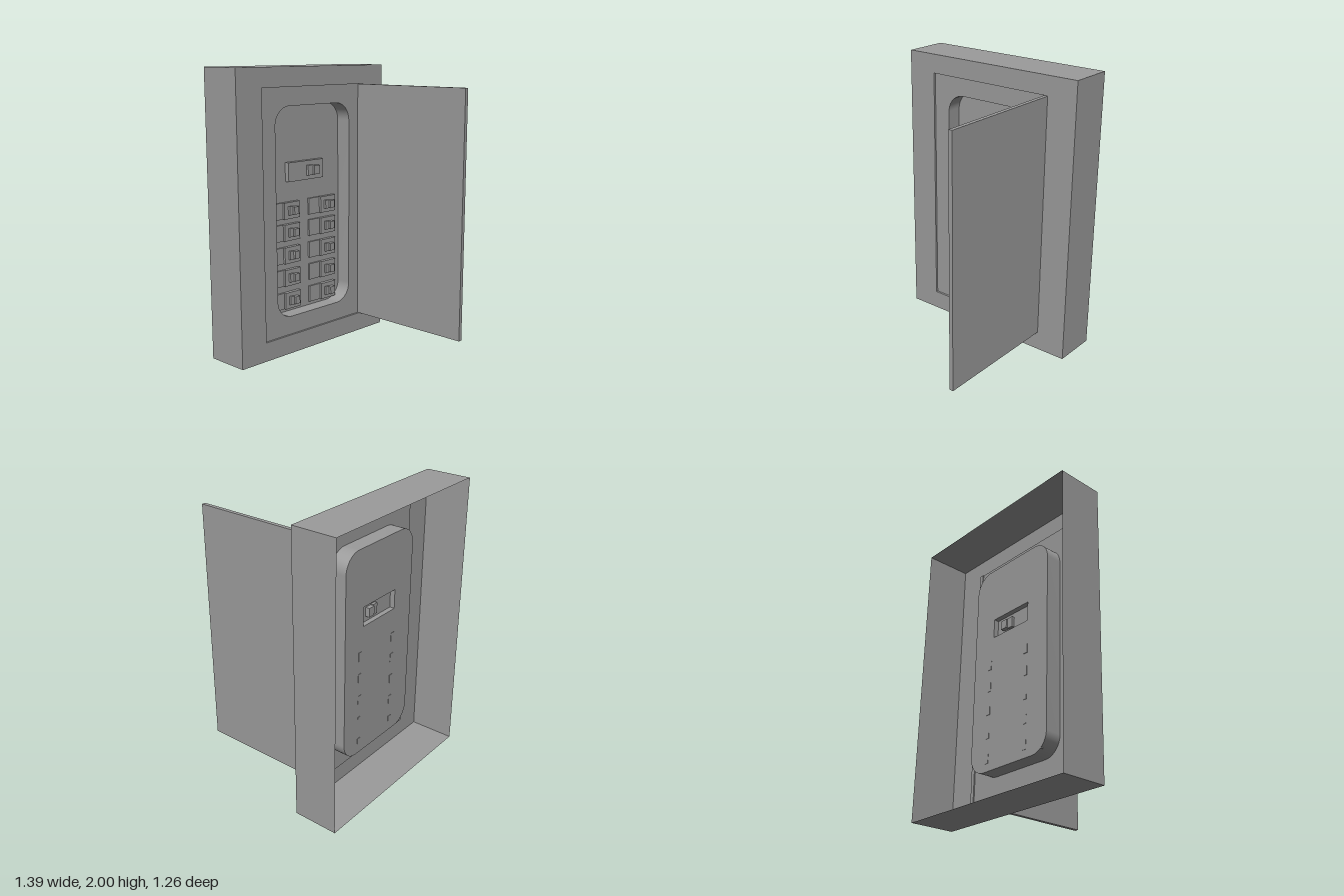
import * as THREE from 'three';
import { toCreasedNormals } from 'three/addons/utils/BufferGeometryUtils.js';

const mat = new THREE.MeshStandardMaterial({ color: 0x9b9b9b, side: THREE.DoubleSide });

// Rectangle outline with optional corner radius
function outline(x0, x1, y0, y1, r = 0) {
  const s = new THREE.Shape();
  if (!r) {
    s.moveTo(x0, y0).lineTo(x1, y0).lineTo(x1, y1).lineTo(x0, y1).closePath();
    return s;
  }
  s.moveTo(x0 + r, y0).lineTo(x1 - r, y0);
  s.absarc(x1 - r, y0 + r, r, -Math.PI / 2, 0);
  s.absarc(x1 - r, y1 - r, r, 0, Math.PI / 2);
  s.absarc(x0 + r, y1 - r, r, Math.PI / 2, Math.PI);
  s.absarc(x0 + r, y0 + r, r, Math.PI, Math.PI * 1.5);
  return s;
}

function add(parent, name, geometry) {
  const mesh = new THREE.Mesh(geometry, mat);
  mesh.name = name;
  parent.add(mesh);
  return mesh;
}

// Flat sheet at depth z, with an optional opening
function sheet(parent, name, shape, z, hole) {
  const s = shape.clone();
  if (hole) s.holes.push(hole);
  add(parent, name, new THREE.ShapeGeometry(s, 10)).position.z = z;
}

// Walls swept along an outline; z0 is the rear edge and z1 the front edge
function walls(parent, name, shape, z0, z1) {
  const pts = shape.getPoints(10);
  const v = [];
  for (let i = 0; i < pts.length; i++) {
    const a = pts[i], b = pts[(i + 1) % pts.length];
    if (a.distanceTo(b) < 1e-6) continue;
    v.push(a.x, a.y, z0, b.x, b.y, z0, b.x, b.y, z1);
    v.push(a.x, a.y, z0, b.x, b.y, z1, a.x, a.y, z1);
  }
  const g = new THREE.BufferGeometry();
  g.setAttribute('position', new THREE.Float32BufferAttribute(v, 3));
  g.computeVertexNormals();
  add(parent, name, toCreasedNormals(g, 0.6));
}

function block(parent, name, x0, x1, y0, y1, z0, z1) {
  add(parent, name, new THREE.BoxGeometry(x1 - x0, y1 - y0, z1 - z0))
    .position.set((x0 + x1) / 2, (y0 + y1) / 2, (z0 + z1) / 2);
}

export function createModel() {
  const model = new THREE.Group();
  model.name = 'breakerPanel';

  const back = -0.63, front = -0.31, ledge = -0.325, floor = -0.437;
  const outer = outline(-0.695, 0.695, 0, 2);
  const doorway = outline(-0.48, 0.478, 0.135, 1.866);
  const well = outline(-0.356, 0.355, 0.265, 1.738, 0.13);
  const mainHole = outline(-0.17, 0.167, 1.205, 1.34);

  // Open-backed housing with a shallow door recess and a deeper rounded well
  const housing = new THREE.Group();
  housing.name = 'housing';
  model.add(housing);
  walls(housing, 'housingSides', outer, back, front);
  sheet(housing, 'frontFrame', outer, front, doorway);
  walls(housing, 'doorRecessSides', doorway, ledge, front);
  sheet(housing, 'doorRecessLedge', doorway, ledge, well);
  walls(housing, 'wellSides', well, floor, ledge);
  sheet(housing, 'wellFloor', well, floor, mainHole);

  // Door swung open at a right angle, its hinge edge set through the ledge
  block(model, 'door', 0.45, 0.478, 0.136, 1.865, ledge - 0.008, 0.63);

  // Main switch: hollow raised plate with a two-step rocker
  const main = new THREE.Group();
  main.name = 'mainSwitch';
  model.add(main);
  const mainFace = floor + 0.035;
  walls(main, 'mainSwitchSides', mainHole, floor, mainFace);
  sheet(main, 'mainSwitchFace', mainHole, mainFace);
  block(main, 'mainRockerBase', 0.003, 0.048, 1.235, 1.308, mainFace - 0.02, mainFace + 0.016);
  block(main, 'mainRockerLever', 0.048, 0.1, 1.24, 1.303, mainFace - 0.03, mainFace + 0.034);

  // Two columns of five breakers, each with a label plate and a two-step toggle
  for (const x of [-0.312, 0.043]) {
    for (const y of [0.943, 0.786, 0.622, 0.458, 0.29]) {
      const breaker = new THREE.Group();
      breaker.name = 'breaker';
      breaker.position.set(x, y, floor);
      model.add(breaker);
      block(breaker, 'labelPlate', 0, 0.103, 0, 0.118, 0.001, 0.014);
      block(breaker, 'breakerBody', 0.103, 0.25, 0, 0.118, 0.001, 0.03);
      block(breaker, 'toggleBase', 0.138, 0.17, 0.028, 0.09, -0.003, 0.046);
      block(breaker, 'toggleLever', 0.17, 0.213, 0.032, 0.086, 0.001, 0.062);
    }
  }

  return model;
}
